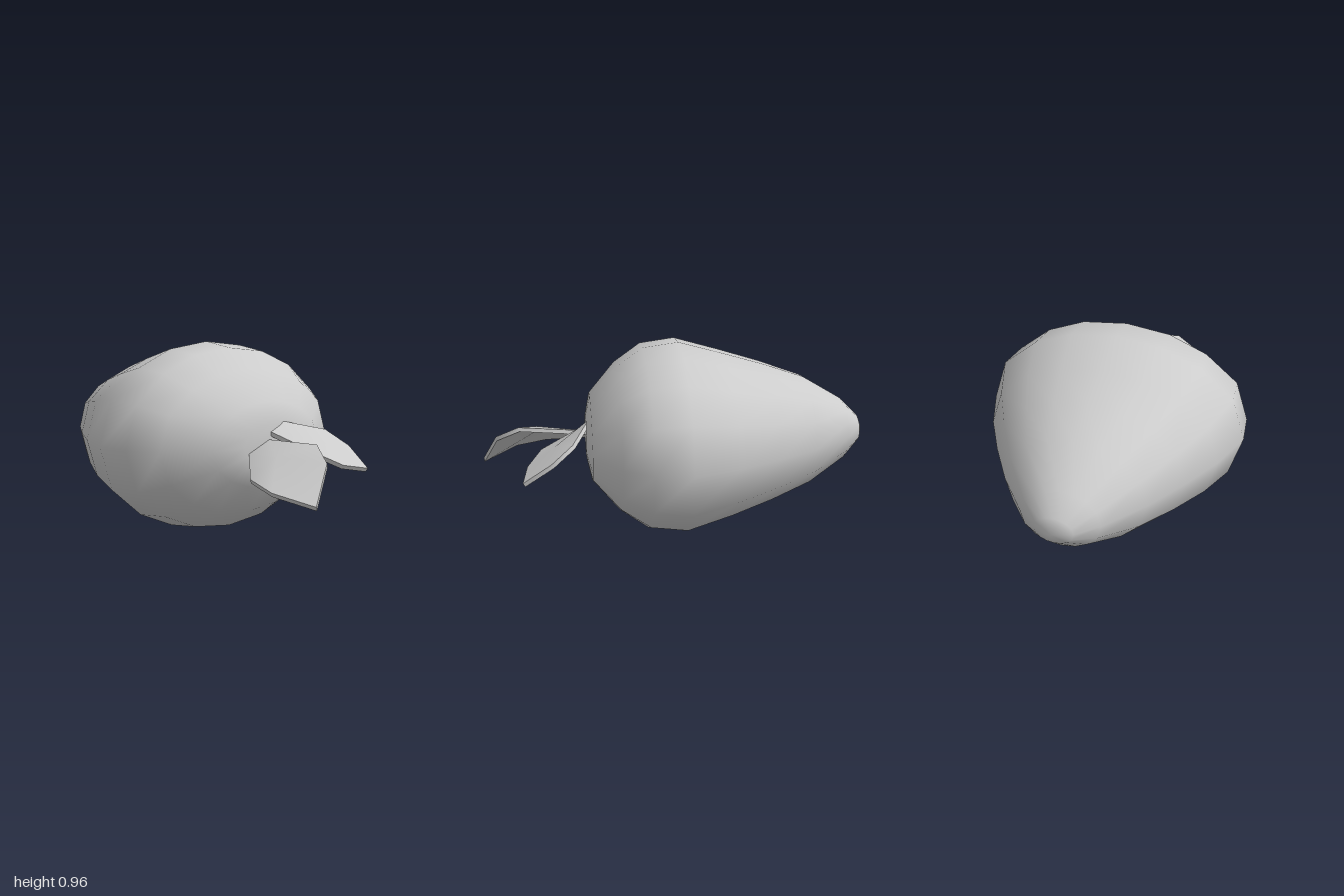
import * as THREE from 'three';
import { mergeVertices, toCreasedNormals } from 'three/addons/utils/BufferGeometryUtils.js';

// Unit cross-section: one quarter mirrored into 16 sides, clockwise from the top
function crossSection() {
  const q = [[0, 1], [0.35, 0.94], [0.645, 0.765], [0.9, 0.46], [1, 0]];
  const right = [...q, ...q.slice(0, 4).reverse().map(([x, y]) => [x, -y])];
  return [...right, ...right.slice(1, 8).reverse().map(([x, y]) => [-x, y])];
}

// Body lofted through rings of [z, half width, half height]
function bodyGeometry() {
  const rings = [
    [0.45, 0, 0], [0.45, 0.17, 0.1], [0.425, 0.35, 0.21], [0.29, 0.555, 0.36],
    [0.15, 0.65, 0.456], [-0.03, 0.67, 0.48], [-0.26, 0.59, 0.415], [-0.47, 0.48, 0.353],
    [-0.68, 0.352, 0.28], [-0.88, 0.195, 0.16], [-0.97, 0.095, 0.07], [-1, 0, 0],
  ];
  const section = crossSection(), n = section.length;
  const pos = [], index = [];
  for (const [z, w, h] of rings) for (const [x, y] of section) pos.push(x * w, 0.48 + y * h, z);
  for (let i = 0; i < rings.length - 1; i++) {
    for (let j = 0; j < n; j++) {
      const a = i * n + j, b = i * n + (j + 1) % n, c = a + n, d = b + n;
      if (i > 0) index.push(a, b, c);
      if (i < rings.length - 2) index.push(b, d, c);
      else index.push();
      if (i === 0) continue;
    }
  }
  const geo = new THREE.BufferGeometry();
  geo.setAttribute('position', new THREE.Float32BufferAttribute(pos, 3));
  geo.setIndex(index);
  const merged = mergeVertices(geo, 1e-4);
  merged.computeVertexNormals();
  return merged;
}

// Thin leaf: fans around a raised centre, closed by a rim
function leafGeometry(outline, centre, normal) {
  const off = new THREE.Vector3(...normal).normalize().multiplyScalar(0.011);
  const at = (p, s) => [p[0] + off.x * s, p[1] + off.y * s, p[2] + off.z * s];
  const pos = [];
  const tri = (...pts) => pts.forEach((p) => pos.push(...p));
  outline.forEach((p, i) => {
    const q = outline[(i + 1) % outline.length];
    tri(at(centre, 1), at(p, 1), at(q, 1));
    tri(at(centre, -1), at(q, -1), at(p, -1));
    tri(at(p, 1), at(p, -1), at(q, 1));
    tri(at(q, 1), at(p, -1), at(q, -1));
  });
  const geo = new THREE.BufferGeometry();
  geo.setAttribute('position', new THREE.Float32BufferAttribute(pos, 3));
  return toCreasedNormals(geo, 0.9);
}

export function createModel() {
  const grey = new THREE.MeshStandardMaterial({ color: 0xcccccc });
  grey.name = 'pale grey';
  const group = new THREE.Group();
  const add = (name, geo) => {
    const mesh = new THREE.Mesh(geo, grey);
    mesh.name = name;
    group.add(mesh);
  };

  add('fruitBody', bodyGeometry());

  // Short leaf on the left
  add('leftLeaf', leafGeometry([
    [0, 0.535, 0.44], [0.1, 0.44, 0.67], [0.2, 0.385, 0.74], [0.355, 0.355, 0.76],
    [0.37, 0.45, 0.62], [0.31, 0.525, 0.515], [0.08, 0.58, 0.43],
  ], [0.2, 0.485, 0.6], [0.1, 0.8, 0.5]));

  // Long leaf on the right
  add('rightLeaf', leafGeometry([
    [0, 0.495, 0.44], [-0.13, 0.44, 0.44], [-0.325, 0.37, 0.66], [-0.345, 0.335, 0.82],
    [-0.24, 0.285, 0.99], [-0.09, 0.45, 0.91], [-0.03, 0.515, 0.79],
  ], [-0.2, 0.465, 0.7], [-0.4, 0.85, 0.2]));

  return group;
}
